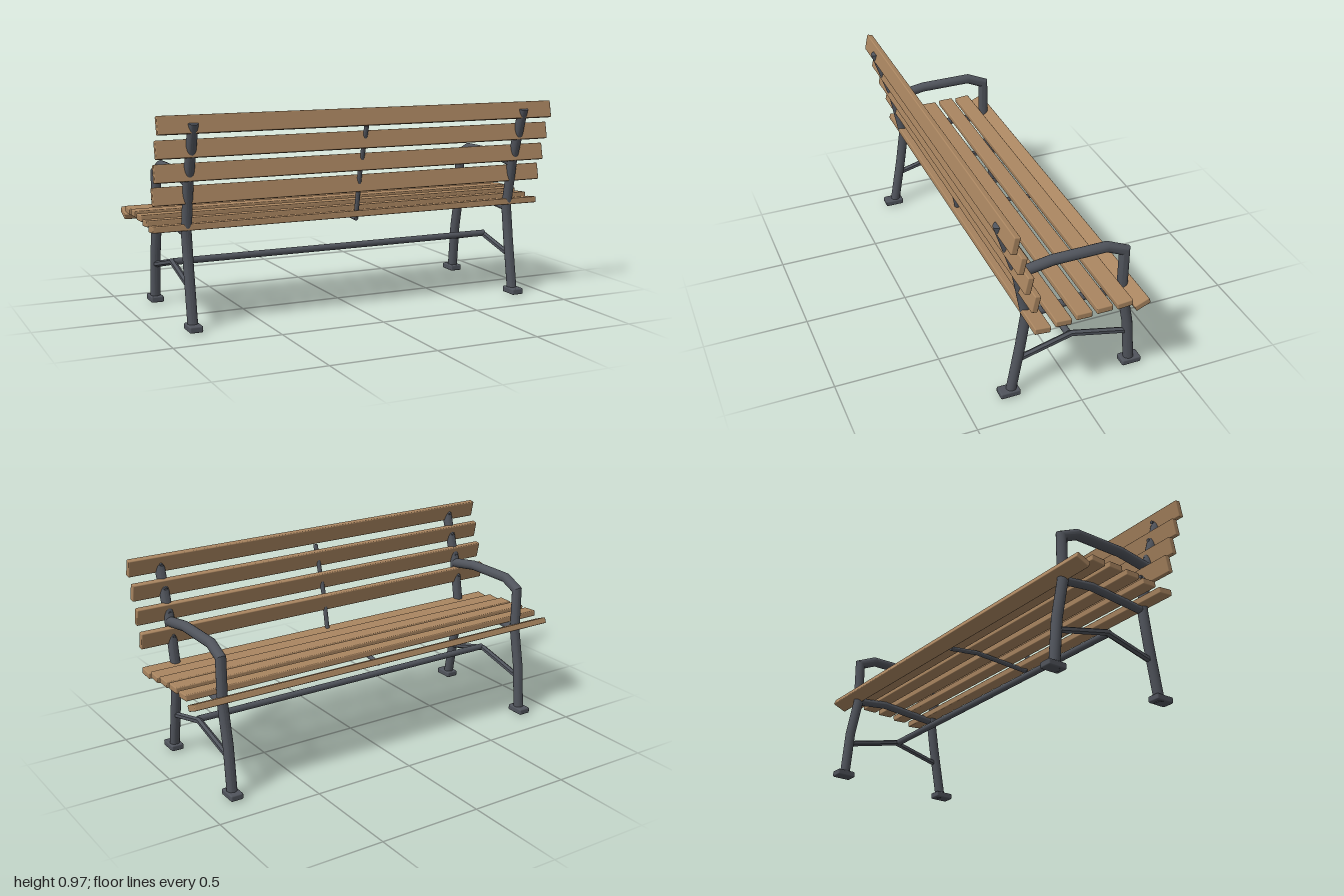
import * as THREE from 'three';
import { toCreasedNormals } from 'three/addons/utils/BufferGeometryUtils.js';
import { RoundedBoxGeometry } from 'three/addons/geometries/RoundedBoxGeometry.js';

const wood = new THREE.MeshStandardMaterial({ color: 0xa98560 });
wood.name = 'wood';
const steel = new THREE.MeshStandardMaterial({ color: 0x50545c });
steel.name = 'dark steel';

// Mitred pipe along a path of [z, y] points in the side plane
function pipe(points, radius, sides = 18) {
  const pts = points.map(([z, y]) => new THREE.Vector2(z, y));
  const last = pts.length - 1;
  const dirs = pts.slice(1).map((p, i) => p.clone().sub(pts[i]).normalize());
  const rings = pts.map((p, i) => {
    const a = dirs[Math.max(i - 1, 0)], b = dirs[Math.min(i, last - 1)];
    const t = a.clone().add(b).normalize();
    return { p, t, stretch: 1 / t.dot(a) };
  });
  const geo = new THREE.CylinderGeometry(radius, radius, 1, sides, last);
  const pos = geo.attributes.position;
  for (let i = 0; i < pos.count; i++) {
    const { p, t, stretch } = rings[Math.round((pos.getY(i) + 0.5) * last)];
    const n = pos.getZ(i) * stretch;
    pos.setXYZ(i, pos.getX(i), p.y - t.x * n, p.x + t.y * n);
  }
  return toCreasedNormals(geo, 0.5);
}

function add(parent, name, geo, material, x = 0, y = 0, z = 0, tilt = 0) {
  const mesh = new THREE.Mesh(geo, material);
  mesh.name = name;
  mesh.position.set(x, y, z);
  mesh.rotation.x = tilt;
  parent.add(mesh);
  return mesh;
}

export function createModel() {
  const bench = new THREE.Group();
  bench.name = 'parkBench';

  // Seat slats: z, y, tilt
  const seatSlat = new RoundedBoxGeometry(2, 0.03, 0.075, 2, 0.005);
  [[0.2, 0.463, -0.1], [0.103, 0.475, -0.07], [0.007, 0.485, -0.03],
    [-0.09, 0.49, 0], [-0.187, 0.488, 0.07], [-0.273, 0.463, 0.4]]
    .forEach(([z, y, tilt]) => add(bench, 'seatSlat', seatSlat, wood, 0, y, z, tilt));

  // Backrest slats: z, y
  const backSlat = new RoundedBoxGeometry(2, 0.082, 0.029, 2, 0.005);
  const backPlaces = [[0.328, 0.933], [0.297, 0.825], [0.266, 0.717], [0.233, 0.612]];
  backPlaces.forEach(([z, y]) => add(bench, 'backSlat', backSlat, wood, 0, y, z, -0.21));

  // Side frames
  const post = pipe([[0.281, 0.008], [0.235, 0.27], [0.21, 0.44], [0.255, 0.68], [0.34, 0.94]], 0.024);
  const leg = pipe([[-0.313, 0.008], [-0.291, 0.25], [-0.253, 0.44], [-0.253, 0.655],
    [-0.165, 0.695], [0.09, 0.695], [0.245, 0.67]], 0.0245);
  const rail = pipe([[0.2, 0.435], [0, 0.452], [-0.09, 0.46], [-0.25, 0.44]], 0.019);
  const brace = pipe([[0.245, 0.197], [-0.012, 0.263], [-0.285, 0.197]], 0.015, 6);
  const foot = new RoundedBoxGeometry(0.062, 0.03, 0.095, 2, 0.007);
  const bolt = new THREE.CylinderGeometry(0.008, 0.008, 0.014, 10).rotateX(Math.PI / 2);
  for (const x of [-0.84, 0.84]) {
    const frame = new THREE.Group();
    frame.name = x > 0 ? 'leftFrame' : 'rightFrame';
    frame.position.x = x;
    add(frame, 'backPost', post, steel);
    add(frame, 'frontLegAndArmrest', leg, steel);
    add(frame, 'seatRail', rail, steel);
    add(frame, 'legBrace', brace, steel);
    add(frame, 'backFoot', foot, steel, 0, 0.023, 0.288);
    add(frame, 'frontFoot', foot, steel, 0, 0.023, -0.316);
    backPlaces.forEach(([z, y]) => add(frame, 'bolt', bolt, steel, 0, y - 0.004, z - 0.018, -0.21));
    bench.add(frame);
  }

  // Long stretcher between the frames
  const stretcher = new THREE.CylinderGeometry(0.016, 0.016, 1.68, 14).rotateZ(Math.PI / 2);
  add(bench, 'stretcher', stretcher, steel, 0, 0.266, 0.003);

  // Slim centre supports for the seat and backrest
  add(bench, 'centreSeatBar', pipe([[0.21, 0.44], [0, 0.452], [-0.09, 0.456], [-0.245, 0.437]], 0.011, 12), steel);
  add(bench, 'centreBackBar', pipe([[0.205, 0.435], [0.247, 0.66], [0.318, 0.89]], 0.011, 12), steel);

  return bench;
}
